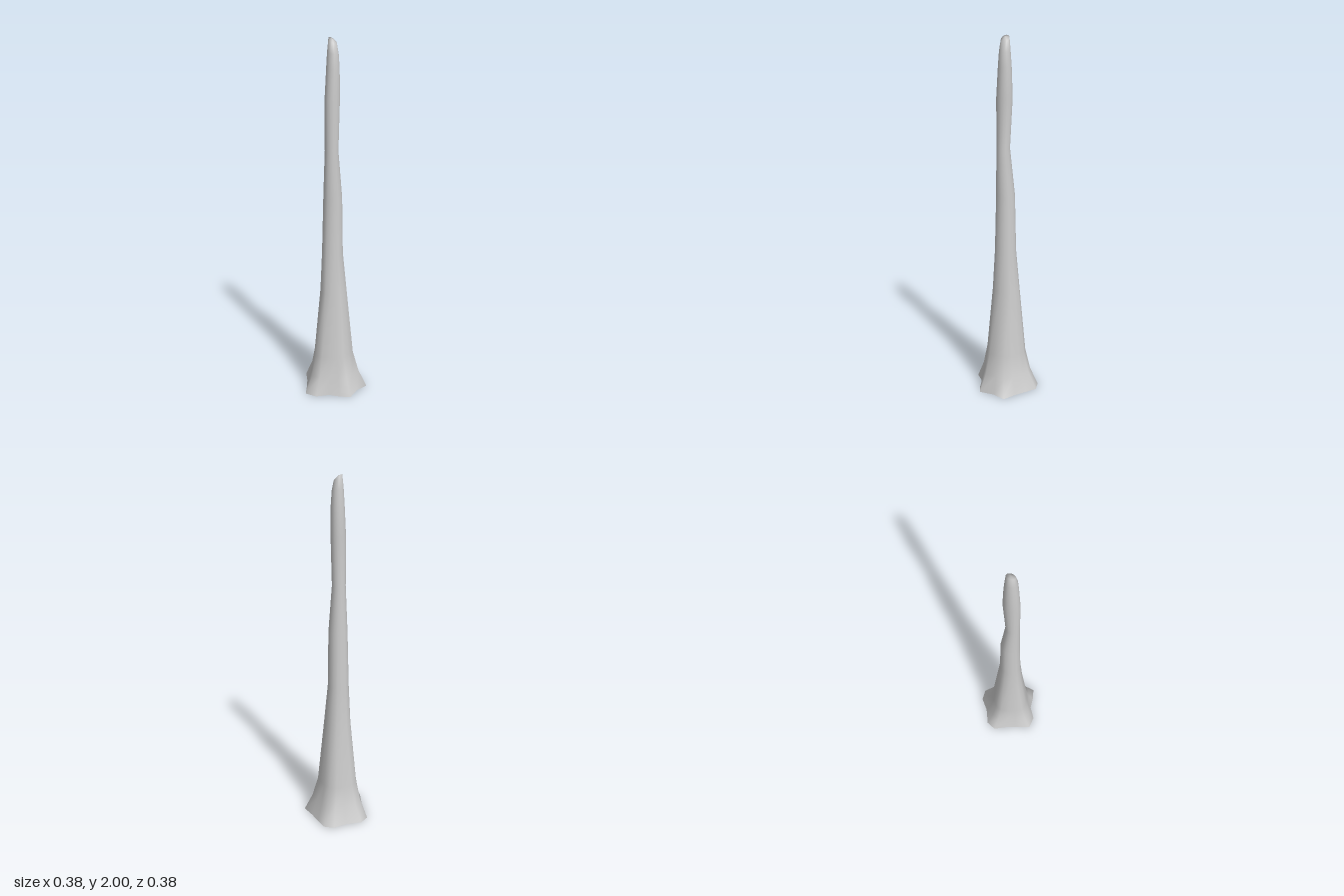
import * as THREE from 'three';

// Root flare outline at ground level (x, z), running from front towards +x
const FLARE = [
  [0.005, 0.184], [0.06, 0.13], [0.12, 0.112], [0.175, 0.085],
  [0.167, 0], [0.188, -0.073], [0.12, -0.112], [0.06, -0.155],
  [0.005, -0.192], [-0.055, -0.178], [-0.105, -0.115], [-0.178, -0.062],
  [-0.19, -0.003], [-0.14, 0.06], [-0.105, 0.115], [-0.063, 0.19],
];

// Cross-sections: height, x min, x max, z min, z max, flare weight, tilt of the ring
const RINGS = [
  [0, -0.19, 0.19, -0.19, 0.19, 1, 0],
  [0.1, -0.143, 0.148, -0.143, 0.148, 0.75, 0],
  [0.22, -0.112, 0.118, -0.113, 0.122, 0.45, 0],
  [0.6, -0.072, 0.08, -0.078, 0.08, 0.25, 0],
  [0.83, -0.058, 0.06, -0.055, 0.066, 0.15, 0],
  [1.15, -0.05, 0.055, -0.048, 0.056, 0.1, 0],
  [1.41, -0.033, 0.041, -0.02, 0.053, 0, 0],
  [1.68, -0.036, 0.043, -0.035, 0.053, 0, 0],
  [1.84, -0.03, 0.041, -0.03, 0.042, 0, 0],
  [1.92, -0.025, 0.036, -0.024, 0.036, 0, 0.2],
  [1.981, -0.018, 0.025, -0.018, 0.028, 0, 0.8],
];

const N = FLARE.length;

function ringPoints([y, x0, x1, z0, z1, w, tilt]) {
  const cx = (x0 + x1) / 2, cz = (z0 + z1) / 2;
  const rx = (x1 - x0) / 2, rz = (z1 - z0) / 2;
  return FLARE.map(([fx, fz], i) => {
    const a = (i / N) * Math.PI * 2;
    const dx = rx * THREE.MathUtils.lerp(Math.sin(a), fx / 0.19, w);
    const dz = rz * THREE.MathUtils.lerp(Math.cos(a), fz / 0.19, w);
    return [cx + dx, y - tilt * dx, cz + dz];
  });
}

function buildGeometry(points, index) {
  const g = new THREE.BufferGeometry();
  g.setAttribute('position', new THREE.Float32BufferAttribute(points.flat(), 3));
  g.setIndex(index);
  g.computeVertexNormals();
  return g;
}

export function createModel() {
  const group = new THREE.Group();
  group.name = 'treeTrunk';
  const material = new THREE.MeshStandardMaterial({ color: 0xcccccc });
  const add = (name, geometry) => {
    const mesh = new THREE.Mesh(geometry, material);
    mesh.name = name;
    group.add(mesh);
  };

  // Tapering trunk, closed by a slanted, slightly domed tip
  const points = RINGS.flatMap(ringPoints);
  const index = [];
  for (let r = 0; r < RINGS.length - 1; r++) {
    for (let i = 0; i < N; i++) {
      const a = r * N + i, b = r * N + (i + 1) % N;
      index.push(a, b, b + N, a, b + N, a + N);
    }
  }
  const last = (RINGS.length - 1) * N;
  const tip = points.push([0.002, 1.991, 0.004]) - 1;
  for (let i = 0; i < N; i++) index.push(last + i, last + (i + 1) % N, tip);
  add('trunk', buildGeometry(points, index));

  // Flat underside
  const base = [...ringPoints(RINGS[0]), [0, 0, 0]];
  const fan = [];
  for (let i = 0; i < N; i++) fan.push((i + 1) % N, i, N);
  add('underside', buildGeometry(base, fan));

  return group;
}
